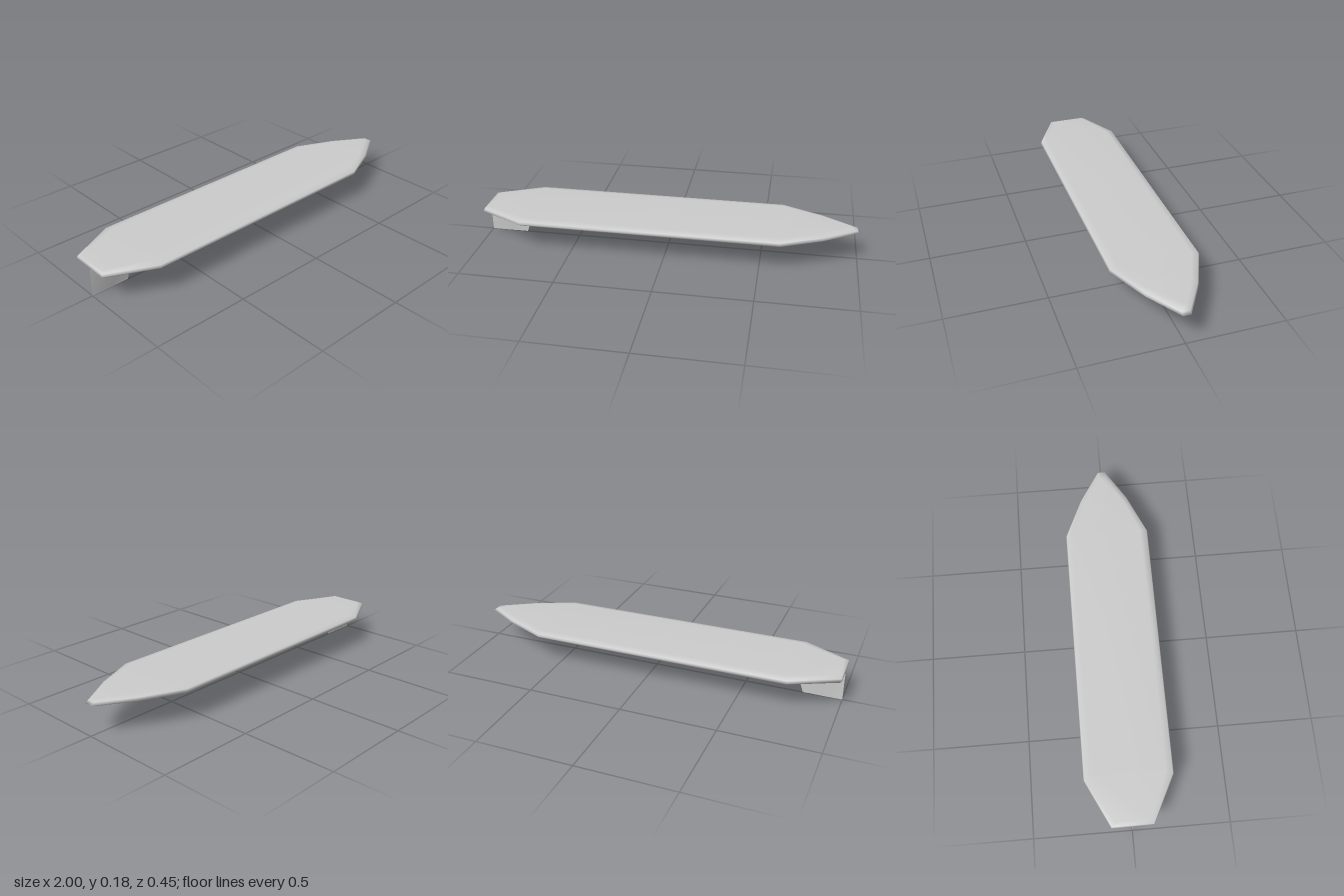
import * as THREE from 'three';
import { toCreasedNormals } from 'three/addons/utils/BufferGeometryUtils.js';

// Joins stacked rings of equal length (each counterclockwise from above) into a closed, capped solid.
function loft(rings) {
  const n = rings[0].length;
  const index = [];
  for (let r = 0; r < rings.length - 1; r++) {
    for (let i = 0; i < n; i++) {
      const a = r * n + i, b = r * n + (i + 1) % n;
      index.push(a, b, b + n, a, b + n, a + n);
    }
  }
  // caps, made of strips between opposite sides of the ring
  const top = (rings.length - 1) * n;
  for (let i = 0; i < n / 2 - 1; i++) {
    const j = n - 1 - i;
    index.push(top + i, top + i + 1, top + j - 1, top + i, top + j - 1, top + j);
    index.push(i, j - 1, i + 1, i, j, j - 1);
  }
  const geometry = new THREE.BufferGeometry();
  geometry.setAttribute('position', new THREE.Float32BufferAttribute(rings.flat(2), 3));
  geometry.setIndex(index);
  geometry.computeVertexNormals();
  return geometry;
}

export function createModel() {
  const group = new THREE.Group();
  const material = new THREE.MeshStandardMaterial({ color: 0xcccccc });

  // Board: half outline from tail to nose, as [x, half width]
  const outline = [[-1, 0.105], [-0.76, 0.226], [0.6, 0.226], [0.82, 0.13], [1, 0.02]];
  // Layers of the rounded rail: [y, width scale, tail x, nose x]
  const layers = [
    [0.142, 0.83, -0.98, 0.9],
    [0.15, 0.955, -0.992, 0.97],
    [0.161, 1, -1, 1],
    [0.173, 0.98, -0.996, 0.985],
    [0.182, 0.82, -0.975, 0.95],
  ];
  const boardRings = layers.map(([y, scale, tail, nose]) => {
    const side = outline.map(([x, w]) => [x < 0 ? x * -tail : x <= 0.6 ? x : 0.6 + (x - 0.6) * (nose - 0.6) / 0.4, y, w * scale]);
    return [...side, ...side.map(([x, h, z]) => [x, h, -z]).reverse()];
  });
  const board = new THREE.Mesh(loft(boardRings), material);
  board.name = 'board';
  group.add(board);

  // Fin: thin diamond sections, tapering downwards, as [y, leading edge x, half thickness]
  const finRings = [[0, -0.8, 0.001], [0.146, -0.75, 0.013]].map(([y, lead, t]) => {
    const mid = (lead - 1) / 2;
    return [[-1, y, 0], [mid, y, t], [lead, y, 0], [mid, y, -t]];
  });
  const fin = new THREE.Mesh(toCreasedNormals(loft(finRings), Math.PI / 6), material);
  fin.name = 'fin';
  group.add(fin);

  return group;
}
